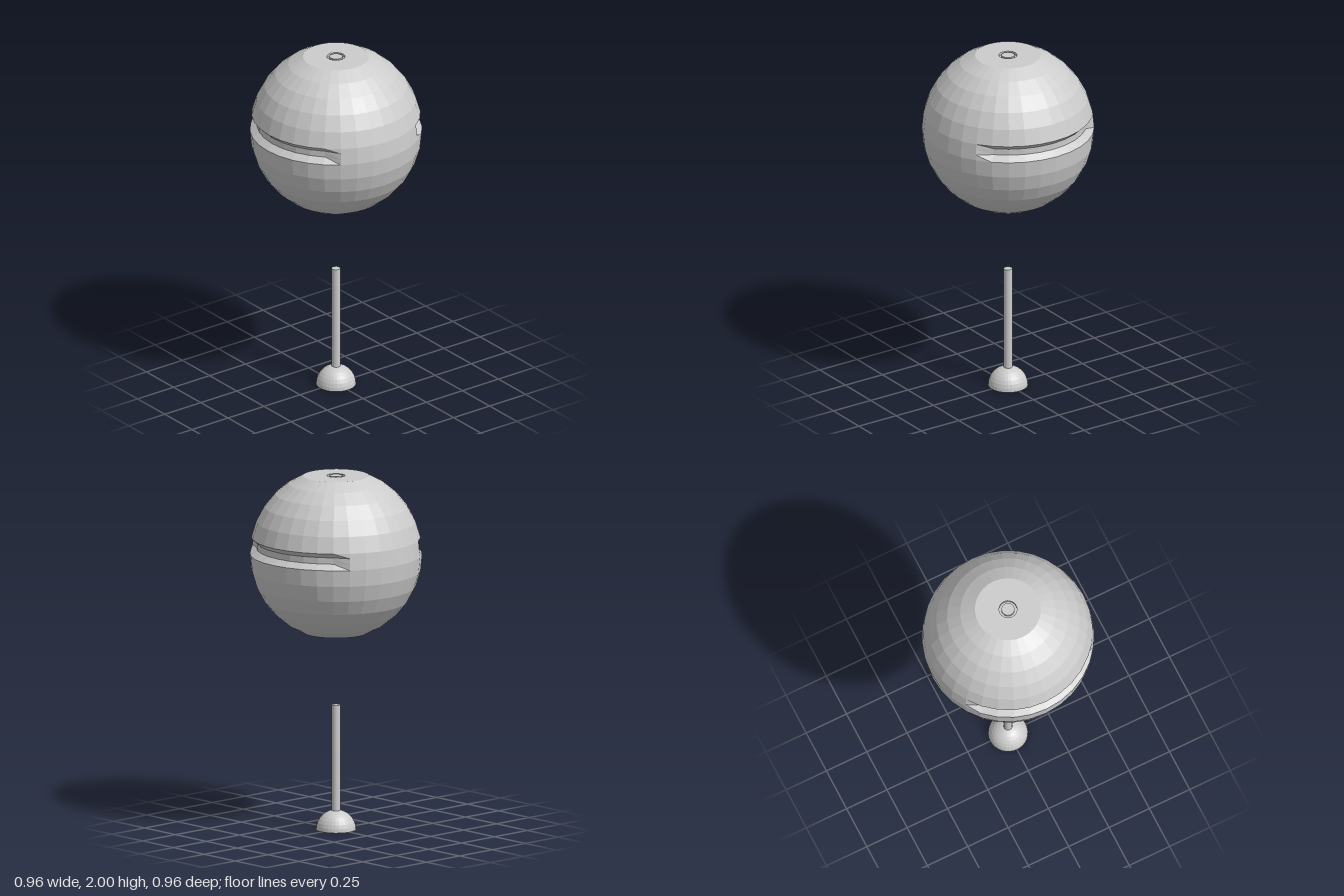
import * as THREE from 'three';

const material = new THREE.MeshStandardMaterial({ color: 0xcccccc, flatShading: true });
const SIDES = 32;
const R = 0.478, CENTRE = 1.56, STEP = Math.PI / 16;
const GROOVE_LOW = 0.03, GROOVE_HIGH = 0.066, GROOVE_RADIUS = 0.44;

// Truncated faceted ball with a ring-shaped recess in each flat end
// and a tapering groove above the equator on its left and right sides.
function createBall() {
  const flatY = R * Math.cos(2 * STEP);
  const lipY = R * Math.sin(STEP), lipR = R * Math.cos(STEP);
  const recess = [[0, flatY], [0.036, flatY], [0.036, flatY - 0.015], [0.05, flatY - 0.015], [0.05, flatY]];
  const profile = recess.map(([r, y]) => new THREE.Vector2(r, -y));
  for (let i = -6; i <= 6; i++) {
    profile.push(new THREE.Vector2(R * Math.cos(i * STEP), R * Math.sin(i * STEP)));
    if (i === 0) {
      for (const y of [GROOVE_LOW, GROOVE_HIGH]) {
        profile.push(new THREE.Vector2(R + (lipR - R) * y / lipY, y));
      }
    }
  }
  recess.reverse().forEach(([r, y]) => profile.push(new THREE.Vector2(r, y)));

  const geometry = new THREE.LatheGeometry(profile, SIDES);
  const p = geometry.attributes.position;
  for (let i = 0; i < p.count; i++) {
    const x = p.getX(i), y = p.getY(i), z = p.getZ(i);
    if (y < GROOVE_LOW - 0.001 || y > GROOVE_HIGH + 0.001) continue;
    // Full depth within four facets of the side, fading out at the fifth
    const facets = Math.atan2(Math.abs(z), Math.abs(x)) / STEP;
    const depth = THREE.MathUtils.clamp(5 - facets, 0, 1);
    const r = Math.hypot(x, z);
    const k = 1 + depth * (GROOVE_RADIUS / r - 1);
    p.setX(i, x * k);
    p.setZ(i, z * k);
  }
  geometry.computeVertexNormals();
  return geometry;
}

export function createModel() {
  const model = new THREE.Group();
  const add = (name, geometry, y) => {
    const mesh = new THREE.Mesh(geometry, material);
    mesh.name = name;
    mesh.position.y = y;
    model.add(mesh);
  };

  add('ball', createBall(), CENTRE);

  // Pin with a half-round foot
  add('pinShaft', new THREE.CylinderGeometry(0.024, 0.024, 0.605, SIDES), 0.4025);
  const dome = [new THREE.Vector2(0, 0)];
  for (let i = 0; i <= 8; i++) {
    const a = i * Math.PI / 16;
    dome.push(new THREE.Vector2(0.111 * Math.cos(a), 0.111 * Math.sin(a)));
  }
  add('pinFoot', new THREE.LatheGeometry(dome, SIDES), 0);
  return model;
}
